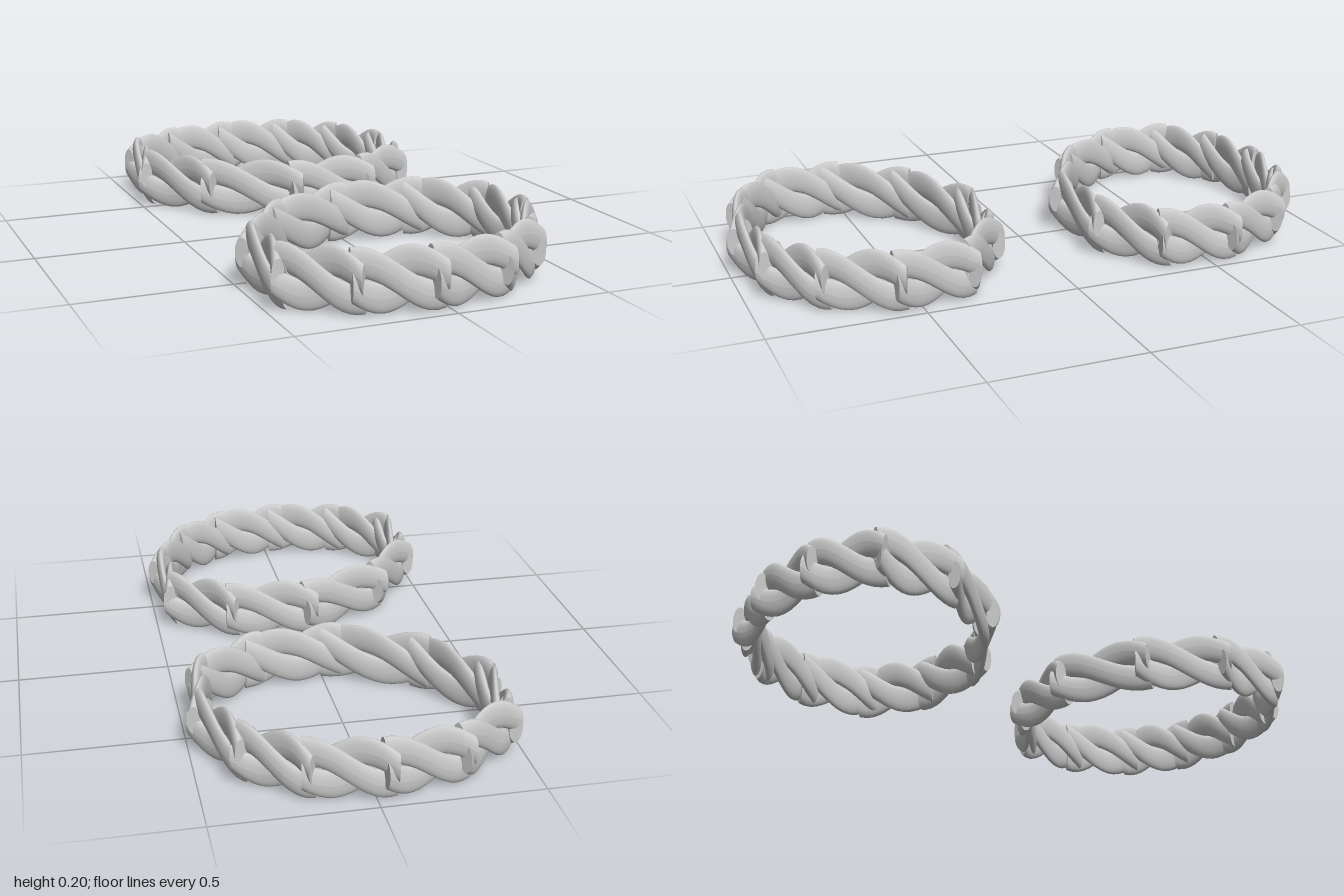
import * as THREE from 'three';

const MID = 0.105;      // height of the rope's centre line
const STRANDS = 3;
const ORBIT = 0.055;    // strand distance from the rope axis
const STRAND = 0.046;   // strand radius
const OVERLAP = 0.1;    // each segment runs a little past its joints

// Joints of the ring as [x, z], left side first, then front, right, back
const JOINTS = [
  [-0.30, 0.32], [-0.455, 0.54], [-0.445, 0.77], [-0.27, 0.905], [-0.04, 0.95], [0.19, 0.91],
  [0.36, 0.78], [0.455, 0.57], [0.43, 0.34], [0.24, 0.20], [-0.03, 0.18],
];

// The rope is flattened towards the ring's wall and flares out at its ends
const flatness = (t) => 0.29 + 0.11 * (2 * t - 1) ** 2;

// One strand: a capped cylinder wound half a turn around the x axis, x from 0 to 1
function strandGeometry(startAngle) {
  const g = new THREE.CylinderGeometry(STRAND, STRAND, 1, 20, 12);
  g.rotateZ(-Math.PI / 2);
  const p = g.attributes.position;
  for (let i = 0; i < p.count; i++) {
    const t = p.getX(i) * (1 + 2 * OVERLAP) + 0.5;
    const a = startAngle + Math.PI * t;
    p.setXYZ(i, t, p.getY(i) + ORBIT * Math.cos(a), (p.getZ(i) + ORBIT * Math.sin(a)) * flatness(t));
  }
  g.computeVertexNormals();
  return g;
}

export function createModel() {
  const material = new THREE.MeshStandardMaterial({ color: 0xcccccc, side: THREE.DoubleSide });
  const strands = Array.from({ length: STRANDS }, (_, k) => strandGeometry((k * 2 * Math.PI) / STRANDS));

  // Ring of straight twisted segments; the strands step at each joint
  function ropeRing(name) {
    const ring = new THREE.Group();
    ring.name = name;
    JOINTS.forEach(([x, z], i) => {
      const [nx, nz] = JOINTS[(i + 1) % JOINTS.length];
      const segment = new THREE.Group();
      segment.name = `ropeSegment${i + 1}`;
      segment.position.set(x, 0, z);
      segment.rotation.y = Math.atan2(z - nz, nx - x);
      segment.scale.x = Math.hypot(nx - x, nz - z);
      strands.forEach((geometry, k) => {
        const strand = new THREE.Mesh(geometry, material);
        strand.name = `strand${k + 1}`;
        segment.add(strand);
      });
      ring.add(segment);
    });
    ring.position.y = MID;
    return ring;
  }

  // The back ring is the front one turned over, so the twist keeps its direction
  const front = ropeRing('frontRing');
  const back = ropeRing('backRing');
  back.rotation.x = Math.PI;

  const model = new THREE.Group();
  model.name = 'twistedRings';
  model.add(front, back);
  return model;
}
